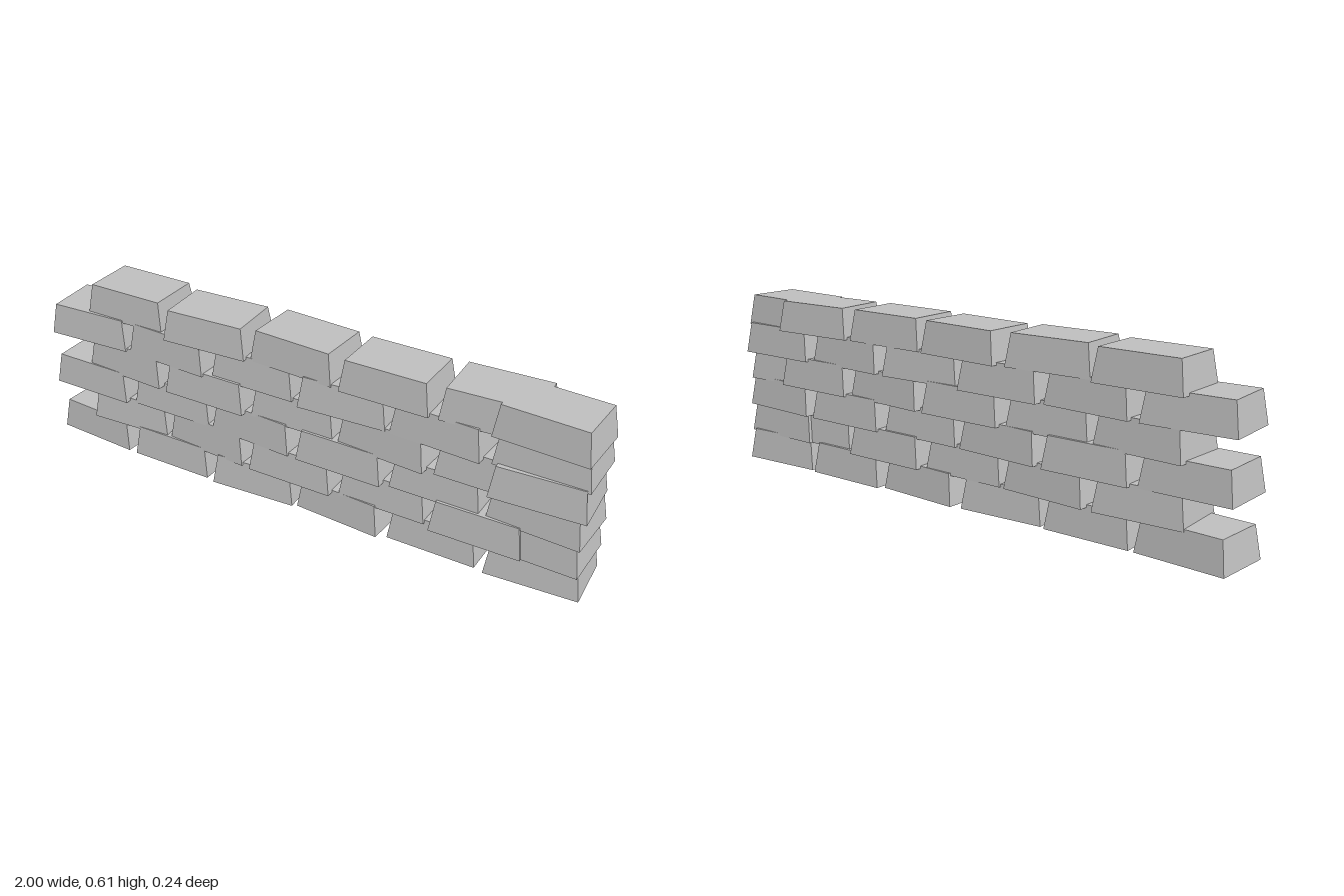
import * as THREE from 'three';

const PITCH = 0.1005, HEIGHT = 0.109;
const LENGTH = 0.31, DEPTH = 0.204;

// Brick standing on y = 0, narrowing towards its top
function brickGeometry() {
  const geo = new THREE.BoxGeometry(LENGTH, HEIGHT, DEPTH);
  geo.translate(0, HEIGHT / 2, 0);
  const pos = geo.attributes.position;
  for (let i = 0; i < pos.count; i++) {
    if (pos.getY(i) < HEIGHT / 2) continue;
    pos.setX(i, pos.getX(i) - Math.sign(pos.getX(i)) * 0.016);
    pos.setZ(i, pos.getZ(i) - Math.sign(pos.getZ(i)) * 0.012);
  }
  geo.computeVertexNormals();
  return geo;
}

// Brick centres along x: full courses and staggered courses with an end brick
const FULL = [-0.839, -0.503, -0.168, 0.168, 0.503, 0.839];
const STAGGERED = [-0.685, -0.35, -0.015, 0.32, 0.655, 0.839];

// Slight turn and z shift of each brick, course by course from the ground
const COURSES = [
  { turn: [-0.06, 0, 0.06, -0.06, 0, 0.06], shift: [0, 0.01, 0.01, 0, -0.01, -0.01] },
  { turn: [0.05, -0.06, 0, 0, 0.01, -0.02], shift: [0, 0, 0.012, -0.01, 0.01, 0] },
  { turn: [0, 0.01, -0.06, 0, 0, -0.05], shift: [0.01, -0.01, 0, 0.01, -0.01, -0.005] },
  { turn: [-0.05, 0, 0, -0.06, 0, 0.05], shift: [0, 0.01, -0.01, 0, -0.01, 0.01] },
  { turn: [0.05, -0.05, 0, 0.05, -0.05, 0], shift: [0.005, 0, -0.01, 0, 0, -0.012] },
  { turn: [0, 0.05, -0.055, 0, 0.05, -0.05], shift: [-0.018, 0.003, -0.013, 0.002, -0.013, 0.005] },
];

export function createModel() {
  const wall = new THREE.Group();
  wall.name = 'brickWall';
  const stone = new THREE.MeshStandardMaterial({ color: 0xbfbfbf });
  stone.name = 'lightGreyStone';
  const geo = brickGeometry();

  COURSES.forEach(({ turn, shift }, row) => {
    const course = new THREE.Group();
    course.name = `course${row + 1}`;
    course.position.y = row * PITCH;
    const centres = row % 2 ? STAGGERED : FULL;
    centres.forEach((x, i) => {
      const brick = new THREE.Mesh(geo, stone);
      brick.name = `brick${i + 1}`;
      brick.position.set(x, 0, shift[i]);
      brick.rotation.y = turn[i];
      course.add(brick);
    });
    wall.add(course);
  });
  return wall;
}
